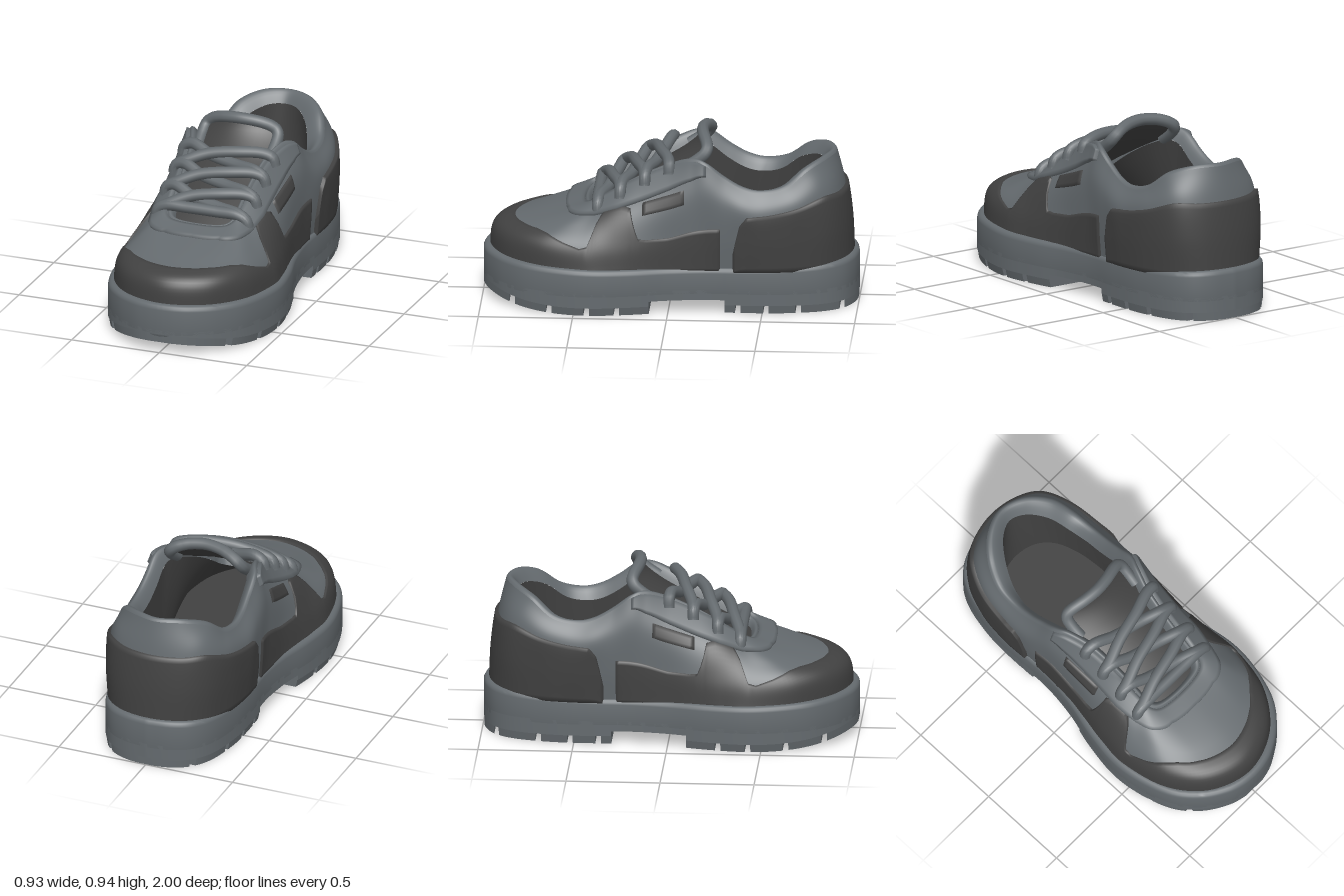
import * as THREE from 'three';
import { mergeVertices, toCreasedNormals } from 'three/addons/utils/BufferGeometryUtils.js';

const V = (x, y, z) => new THREE.Vector3(x, y, z);
const mat = (name, color, side = THREE.FrontSide) => {
  const m = new THREE.MeshStandardMaterial({ color, side });
  m.name = name;
  return m;
};

// half-side curves (toe centre to heel centre) mirrored into closed loops of 30 points
function loop(half) {
  const pts = half.map(p => V(...p));
  for (let i = half.length - 2; i > 0; i--) pts.push(V(-half[i][0], half[i][1], half[i][2]));
  const curve = new THREE.CatmullRomCurve3(pts, true, 'catmullrom', 0.5);
  return u => curve.getPoint((((u % 30) + 30) % 30) / 30);
}
const base = loop([[0, .96], [.22, .885], [.37, .7], [.43, .45], [.415, .28], [.385, .13], [.36, 0], [.35, -.12],
  [.345, -.2], [.345, -.3], [.35, -.4], [.35, -.5], [.33, -.66], [.27, -.82], [.16, -.92], [0, -.955]].map(([x, z]) => [x, .23, z]));
const lower = loop([[0, .385, .93], [.22, .38, .855], [.355, .37, .68], [.4, .36, .45], [.39, .37, .28], [.37, .39, .13],
  [.355, .4, 0], [.35, .42, -.12], [.35, .42, -.2], [.36, .42, -.3], [.365, .42, -.4], [.365, .42, -.5],
  [.34, .44, -.67], [.275, .45, -.83], [.16, .45, -.915], [0, .45, -.945]]);
const upper = loop([[0, .442, .77], [.18, .442, .72], [.29, .455, .58], [.315, .475, .42], [.325, .52, .28], [.325, .56, .13],
  [.33, .6, 0], [.335, .64, -.12], [.345, .64, -.2], [.355, .6, -.3], [.365, .57, -.4], [.36, .56, -.5],
  [.335, .595, -.67], [.265, .65, -.81], [.155, .65, -.888], [0, .65, -.918]]);
const rim = loop([[0, .525, .46], [.14, .53, .445], [.19, .555, .4], [.195, .6, .33], [.2, .655, .24], [.21, .715, .13],
  [.23, .775, 0], [.27, .815, -.12], [.3, .8, -.2], [.305, .73, -.3], [.31, .675, -.4], [.31, .655, -.5],
  [.297, .68, -.62], [.245, .765, -.735], [.14, .805, -.835], [0, .81, -.88]]);

// outer skin of the shoe: u runs round the shoe, v from sole to rim
function skin(u, v) {
  return new THREE.CatmullRomCurve3([base(u), lower(u), upper(u), rim(u)], false, 'catmullrom', 0.5).getPoint(v);
}
function raised(u, v, h) {
  const e = 0.01;
  const v0 = Math.max(v - e, 0), v1 = Math.min(v + e, 1);
  const du = skin(u + e, v).sub(skin(u - e, v));
  const dv = skin(u, v1).sub(skin(u, v0));
  return skin(u, v).addScaledVector(du.cross(dv).normalize(), h);
}
// inner edge of the padded collar, narrowing towards the heel
const inside = u => {
  const p = rim(u);
  return V(p.x * (.78 - .4 * Math.max(0, -.5 - p.z)), p.y - .05, (p.z + .1) * .91 - .1);
};

// smooth surface from a grid of points f(s, t)
function grid(nu, nv, f) {
  const pos = [], idx = [], w = nv + 1;
  for (let i = 0; i <= nu; i++) for (let j = 0; j <= nv; j++) pos.push(...f(i / nu, j / nv).toArray());
  for (let i = 0; i < nu; i++) for (let j = 0; j < nv; j++) {
    const a = i * w + j, b = a + w;
    idx.push(a, b, b + 1, a, b + 1, a + 1);
  }
  let g = new THREE.BufferGeometry();
  g.setAttribute('position', new THREE.Float32BufferAttribute(pos, 3));
  g.setIndex(idx);
  g = mergeVertices(g, 1e-5);
  g.computeVertexNormals();
  return g;
}
// piecewise linear lookup in [key, value] pairs
function lookup(table, k) {
  for (let i = 1; i < table.length; i++) if (k <= table[i][0]) {
    const [a, x] = table[i - 1], [b, y] = table[i];
    return x + (y - x) * Math.max(0, (k - a) / (b - a));
  }
  return table[table.length - 1][1];
}
// overlay panel on the skin, its edges tucked into it
function panel(u0, u1, low, high, h, nv = 16) {
  const nu = Math.ceil((u1 - u0) * 10);
  return grid(nu, nv, (s, t) => {
    const edge = s < 1e-6 || s > 1 - 1e-6 || t < 1e-6 || t > 1 - 1e-6;
    const tt = t < .01 || t > .99 ? t : .015 + .97 * (t - 1 / nv) / (1 - 2 / nv);
    const u = u0 + (u1 - u0) * s, a = low(u);
    return raised(u, a + (high(u) - a) * tt, edge ? -.004 : h);
  });
}

// sole outline, and slices of it between two z values
const soleHalf = [[0, 1], [.08, .992], [.17, .962], [.285, .885], [.385, .76], [.445, .58], [.464, .4], [.435, .2], [.385, 0],
  [.36, -.2], [.365, -.4], [.358, -.6], [.315, -.8], [.24, -.92], [.13, -.98], [0, -1]];
const soleCurve = new THREE.SplineCurve(soleHalf.map(p => new THREE.Vector2(...p))).getPoints(90);
function slab(z1, z0, y0, y1, bevel) {
  const width = z => lookup(soleCurve.map(p => [-p.y, p.x]), -z);
  const side = soleCurve.filter(p => p.y < z1 && p.y > z0).map(p => [p.x, p.y]);
  side.unshift([width(z1), z1]);
  side.push([width(z0), z0]);
  const both = [...side, ...side.slice().reverse().map(([x, z]) => [-x, z])]
    .filter(([x, z], i, a) => i === 0 || Math.hypot(x - a[i - 1][0], z - a[i - 1][1]) > 1e-5);
  const shape = new THREE.Shape(both.map(([x, z]) => new THREE.Vector2(x, -z)));
  const g = new THREE.ExtrudeGeometry(shape, { depth: y1 - y0 - 2 * bevel, bevelEnabled: bevel > 0,
    bevelThickness: bevel, bevelSize: bevel, bevelOffset: -bevel, bevelSegments: 4 });
  g.rotateX(-Math.PI / 2);
  g.translate(0, y0 + bevel, 0);
  const p = g.attributes.position;
  for (let i = 0; i < p.count; i++) {   // toe spring and slight taper below, gentle dip at the waist above
    const y = p.getY(i), z = p.getZ(i);
    if (y < .03) p.setX(i, p.getX(i) * .97);
    if (y < .07) p.setY(i, y + Math.max(0, z - .5) ** 2 * .24);
    else if (y > .15) p.setY(i, y + .025 * z * z);
  }
  g.computeVertexNormals();
  return toCreasedNormals(g, .6);
}

export function createModel() {
  const shoe = new THREE.Group();
  const light = mat('slate grey', 0x646a6e);
  const dark = mat('charcoal', 0x414141);
  const lining = mat('charcoal lining', 0x414141, THREE.DoubleSide);
  const add = (name, geo, m) => {
    const mesh = new THREE.Mesh(geo, m);
    mesh.name = name;
    shoe.add(mesh);
  };

  // sole: rounded body, tread bases either side of the raised arch, cross-cut lugs
  add('midsole', slab(1, -1, .08, .25, .03), light);
  add('arch', slab(.12, -.32, .075, .13, 0), [dark, light]);
  add('forefootTread', slab(1, .1, .048, .13, 0), [dark, light]);
  add('heelTread', slab(-.3, -1, .048, .13, 0), [dark, light]);
  const lugs = [[.995, .845], [.815, .645], [.615, .445], [.415, .285], [.255, .1],
    [-.3, -.355], [-.385, -.505], [-.535, -.675], [-.705, -.905], [-.93, -.995]];
  for (const [a, b] of lugs) add('lug', slab(a, b, .004, .06, 0), [dark, light]);

  // upper shell with rolled rim, then lining and insole
  add('upper', grid(240, 24, (s, t) => skin(s * 30, t)), light);
  add('collarRim', grid(240, 8, (s, t) => {
    const a = rim(s * 30), c = inside(s * 30);
    const b = V(a.x * .92, a.y + .045, (a.z + .1) * .97 - .1);
    return new THREE.QuadraticBezierCurve3(a, b, c).getPoint(t);
  }), light);
  const floorEdge = u => { const p = base(u); return V(p.x * .75, .3, p.z * .8); };
  add('lining', grid(120, 6, (s, t) => inside(s * 30).lerp(floorEdge(s * 30), t)), lining);
  add('insole', grid(120, 2, (s, t) => { const p = floorEdge(s * 30); p.x *= 1 - t; return p; }), lining);

  // dark overlays: toe guard running into the side panels, and heel counter
  const guard = [[0, .57], [1, .58], [1.6, .56], [2, .51], [2.5, .4], [2.9, .33], [3.1, .36], [3.2, .5], [3.35, .72],
    [3.5, .78], [4.2, .77], [4.5, .72], [4.65, .5], [4.8, .38], [5.1, .36], [6, .36], [7, .38], [8.8, .42]];
  add('toeGuard', panel(-8.8, 8.8, () => 0, u => lookup(guard, Math.abs(u)), .01), dark);
  const counter = [[0, .63], [4.2, .63], [4.8, .6], [5.2, .48], [5.6, .15]];
  add('heelCounter', panel(9.4, 20.6, () => 0, u => lookup(counter, Math.abs(u - 15)), .018), dark);

  // eyestay around the throat, and side tabs
  const stay = [[0, .9], [1, .89], [2, .82], [3, .76], [4, .74], [5, .76], [6, .78], [7, .81], [8, .88]];
  add('eyestay', panel(-8, 8, u => lookup(stay, Math.abs(u)), () => 1, .018, 8), light);
  for (const [a, b] of [[4.9, 6.7], [-6.7, -4.9]]) add('sideTab', panel(a, b, () => .61, () => .74, .009, 6), dark);

  // padded tongue, rounded at the top, with a thick rolled edge
  const spine = new THREE.CatmullRomCurve3([V(0, .49, .45), V(0, .575, .32), V(0, .685, .12), V(0, .775, -.03), V(0, .855, -.125), V(0, .915, -.165)]);
  const tongueWidth = t => t < .65 ? .16 + .05 * t / .65 : .21 * Math.sqrt(Math.max(0, 1 - ((t - .65) / .35) ** 4));
  const tongue = (s, t) => {
    const p = spine.getPoint(t), x = (2 * s - 1) * tongueWidth(t), k = (x / .2) ** 2;
    return p.add(V(x, -.015 * k, -.07 * k * t));
  };
  add('tongue', grid(16, 60, tongue), lining);
  const steps = [-.1, .2, .45, .65, .8, .9, .96].map(w => .65 + .35 * w);
  const edge = [...steps.map(t => tongue(0, t)), tongue(.5, 1), ...steps.reverse().map(t => tongue(1, t))];
  add('tongueEdge', new THREE.TubeGeometry(new THREE.CatmullRomCurve3(edge), 80, .032, 10), light);

  // laces hugging the eyestay: one straight bar, then three crossings
  const rows = [[.585, .38], [.665, .26], [.74, .13], [.805, 0]];
  const lace = (s, from, to, lift) => {
    const [ya, za] = rows[from], [yb, zb] = rows[to];
    const at = (x, k, dy) => V(s * x, ya + (yb - ya) * k + dy, za + (zb - za) * k);
    const path = new THREE.CatmullRomCurve3([at(.262, 0, -.065), at(.25, 0, -.02), at(.2, .06, .005), at(.08, .36, lift),
      at(-.08, .64, lift), at(-.2, .94, .005), at(-.25, 1, -.02), at(-.262, 1, -.065)]);
    add('lace', new THREE.TubeGeometry(path, 40, .031, 10), light);
  };
  lace(1, 0, 0, .008);
  for (let k = 0; k < 3; k++) {
    lace(1, k + 1, k, .03);
    lace(-1, k + 1, k, -.012);
  }
  return shoe;
}
